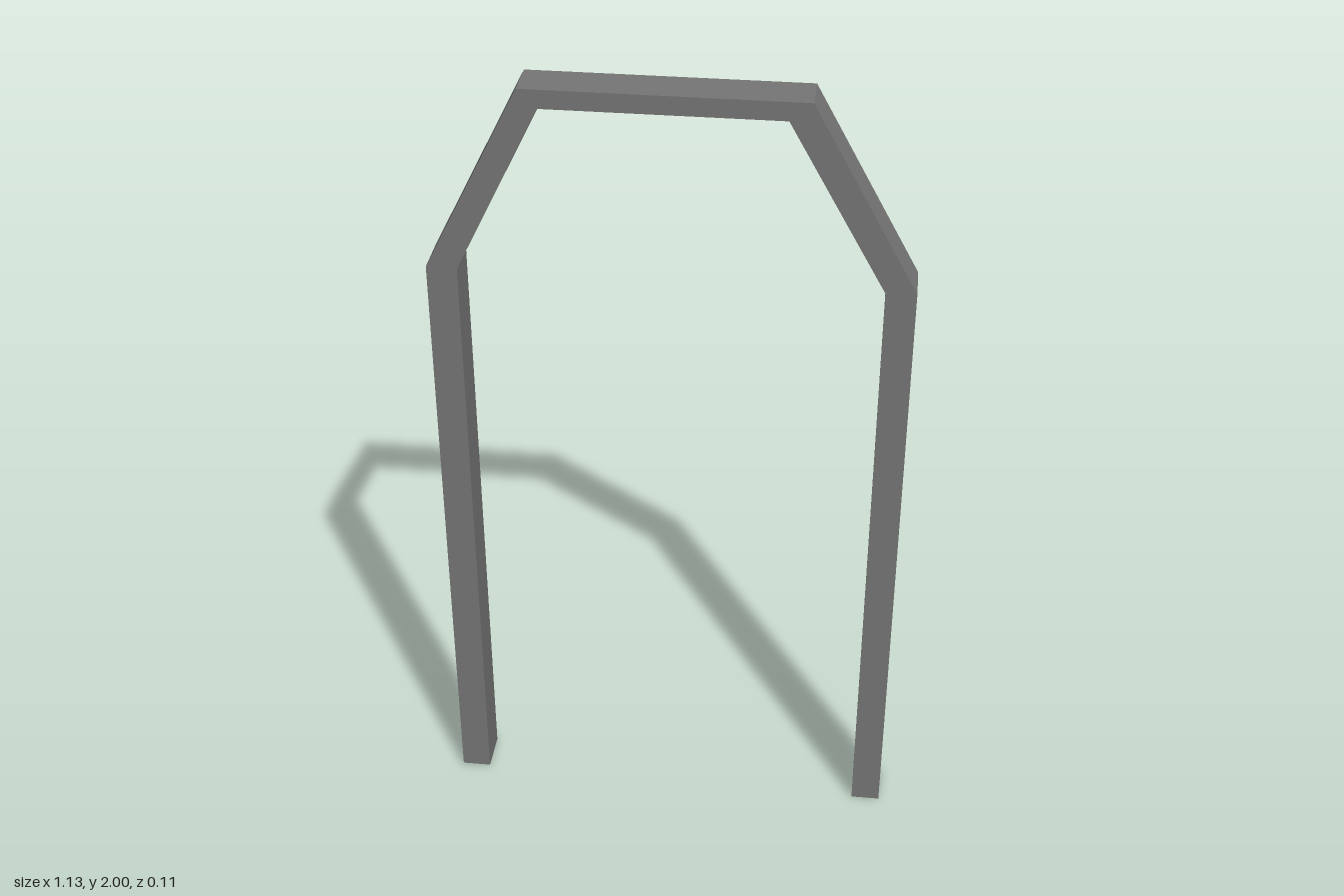
import * as THREE from 'three';

const DEPTH = 0.106;

export function createModel() {
  const group = new THREE.Group();
  group.name = 'archway';

  // Outer edge of the arch, left to right as seen from the front
  const outer = [[-0.566, 0.008], [-0.566, 1.547], [-0.336, 2], [0.315, 2], [0.566, 1.547], [0.566, 0]];
  // Matching inner edge, mitred at each bend
  const inner = [[-0.493, 0.008], [-0.493, 1.545], [-0.289, 1.955], [0.263, 1.955], [0.494, 1.545], [0.494, 0]];

  const outline = [...outer, ...inner.reverse()].map(([x, y]) => new THREE.Vector2(x, y));

  // One continuous bent frame: two posts, two sloping braces and the top beam
  const geometry = new THREE.ExtrudeGeometry(new THREE.Shape(outline), { depth: DEPTH, bevelEnabled: false });
  geometry.translate(0, 0, -DEPTH / 2);

  const frame = new THREE.Mesh(geometry, new THREE.MeshStandardMaterial({ color: 0x767676, flatShading: true }));
  frame.name = 'archFrame';
  group.add(frame);

  return group;
}
